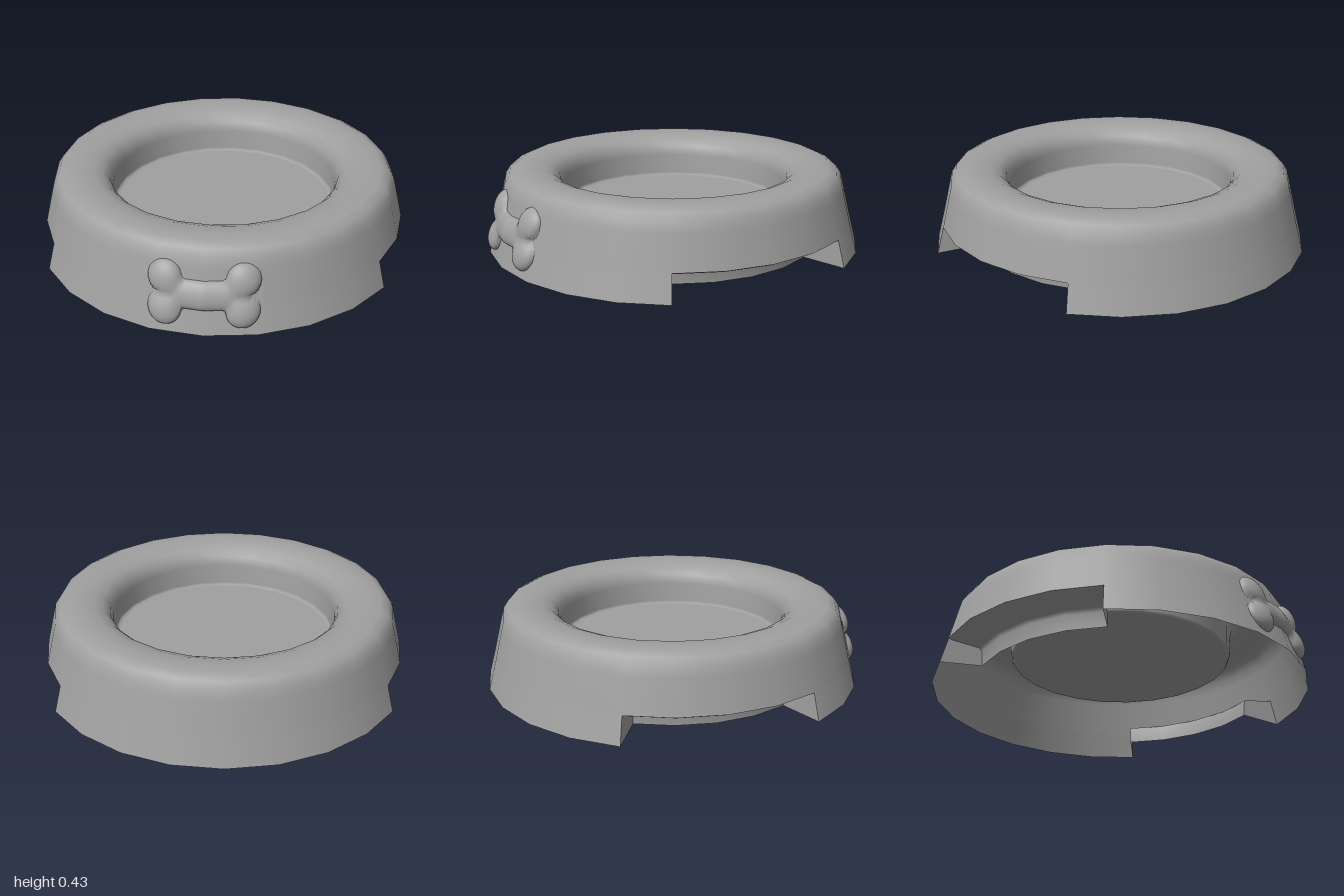
import * as THREE from 'three';

const SEGMENTS = 24;
const STEP = (Math.PI * 2) / SEGMENTS;
const CUT_R = 0.963, CUT_Y = 0.142; // where the grip notches end

// Radius of the sloping outer wall at height y
const wallRadius = (y) => 1 - (y * (1 - CUT_R)) / CUT_Y;

// Bone relief: four domed knobs blended with a half-round shaft
function boneGeometry() {
  const knobX = 0.185, knobY = 0.073, knobR = 0.083, shaftR = 0.071, midY = 0.194;
  const dome = (radius, distance) => Math.sqrt(Math.max(0, radius * radius - distance * distance));

  // Height of the relief above the wall
  const relief = (x, y) => {
    const fade = dome(1, Math.max(0, x - 0.1) / 0.12);
    const heights = [
      0.62 * dome(knobR, Math.hypot(x - knobX, y - knobY)),
      0.62 * dome(knobR, Math.hypot(x - knobX, y + knobY)),
      0.56 * dome(shaftR, y) * fade,
    ];
    return Math.pow(heights.reduce((sum, h) => sum + h ** 4, 0), 0.25);
  };

  // A grid fitted to the bone outline, then laid on the sloping, faceted wall
  const geometry = new THREE.PlaneGeometry(2, 2, 64, 28);
  const p = geometry.attributes.position;
  for (let i = 0; i < p.count; i++) {
    const x = (knobX + knobR) * Math.sin((p.getX(i) * Math.PI) / 2);
    const ax = Math.abs(x);
    const outline = Math.max(shaftR, knobY + dome(knobR, ax - knobX));
    const y = outline * Math.sin((p.getY(i) * Math.PI) / 2);
    const wall = wallRadius(y + midY) - ax * Math.tan(STEP / 2);
    p.setXYZ(i, x, y + midY, wall + relief(ax, y) - 0.003);
  }
  geometry.computeVertexNormals();
  return geometry;
}

export function createModel() {
  const group = new THREE.Group();
  const material = new THREE.MeshStandardMaterial({ color: 0xa0a0a0, side: THREE.DoubleSide });

  const add = (name, geometry) => {
    const mesh = new THREE.Mesh(geometry, material);
    mesh.name = name;
    group.add(mesh);
    return mesh;
  };
  // Part of a turned profile: start and count are in 15 degree steps from the front
  const turned = (name, profile, start = 0, count = SEGMENTS) => {
    const points = profile.map(([r, y]) => new THREE.Vector2(r, y));
    const geometry = new THREE.LatheGeometry(points, count, start * STEP, count * STEP);
    geometry.normalizeNormals();
    add(name, geometry);
  };

  // Outer wall, rounded rim, inner wall and dish floor
  turned('bowl', [
    [CUT_R, CUT_Y], [0.92, 0.32], [0.907, 0.37], [0.882, 0.408], [0.84, 0.428],
    [0.77, 0.43], [0.70, 0.423], [0.65, 0.403], [0.615, 0.37], [0.6, 0.32],
    [0.596, 0.215], [0.588, 0.203], [0.57, 0.2], [0, 0.2],
  ]);

  // Lower skirt at front and back
  const skirt = [[1, 0], [CUT_R, CUT_Y]];
  turned('frontSkirt', skirt, -4, 8);
  turned('backSkirt', skirt, 8, 8);

  // Recessed hand grips at the sides: inner wall and overhanging ledge
  const grip = [[0.78, 0.02], [0.785, 0.1], [0.8, 0.118], [0.945, 0.133], [CUT_R, CUT_Y]];
  turned('leftGrip', grip, 4, 4);
  turned('rightGrip', grip, 16, 4);

  // Radial walls closing both ends of each grip
  const endShape = new THREE.Shape([[1, 0], ...grip.slice().reverse()]
    .map(([r, y]) => new THREE.Vector2(r, y)));
  for (const degrees of [30, 150, 210, 330]) {
    add('gripEnd', new THREE.ShapeGeometry(endShape))
      .rotation.y = THREE.MathUtils.degToRad(degrees);
  }

  add('boneRelief', boneGeometry());

  return group;
}
